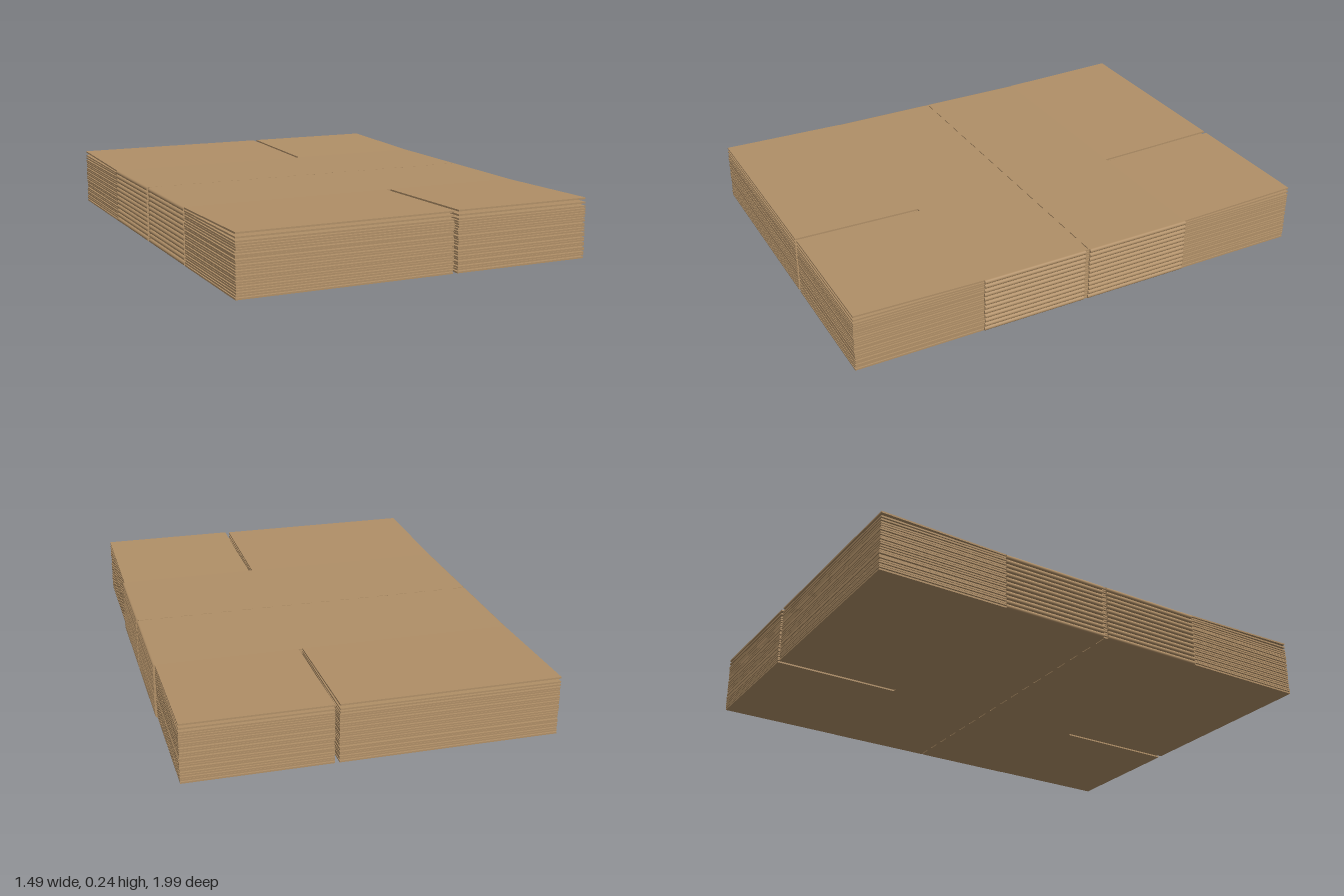
import * as THREE from 'three';

const BOXES = 12, PITCH = 0.0193, HEIGHT = 0.0177, SHEET = 0.0066;
const HALF_W = 0.732, CREASE = 0.457, END = 0.988;
const SLOT_L = 0.137, SLOT_R = 0.155;

const cardboard = new THREE.MeshStandardMaterial({ color: 0xb08f67 });

let seed = 7;
const jitter = (amount) => {
  seed = (seed * 16807) % 2147483647;
  return (seed / 2147483647 * 2 - 1) * amount;
};

function rect(target, x0, x1, z0, z1) {
  target.moveTo(x0, z0);
  target.lineTo(x1, z0);
  target.lineTo(x1, z1);
  target.lineTo(x0, z1);
  target.closePath();
  return target;
}

// Middle panel with a row of perforations along its centre line
function panelGeometry() {
  const shape = rect(new THREE.Shape(), -HALF_W, HALF_W, -CREASE, CREASE);
  for (let i = 0; i < 17; i++) {
    const x = -0.7 + i * 0.0875;
    shape.holes.push(rect(new THREE.Path(), x - 0.025, x + 0.025, -0.002, 0.002));
  }
  const g = new THREE.ExtrudeGeometry(shape, { depth: SHEET, bevelEnabled: false });
  return g.rotateX(-Math.PI / 2).translate(0, -SHEET / 2, 0);
}

// Flap hinged at its inner edge, reaching towards +z or -z
function flapGeometry(x0, x1, side) {
  const length = END - CREASE;
  return new THREE.BoxGeometry(x1 - x0, SHEET, length)
    .translate((x0 + x1) / 2, 0, side * length / 2);
}

// Rounded fold joining the upper and lower sheet at a side edge
function foldGeometry(z0, z1) {
  const r = HEIGHT / 2;
  return new THREE.CylinderGeometry(r, r, z1 - z0, 8, 1, false, 0, Math.PI)
    .rotateX(Math.PI / 2).translate(0, 0, (z0 + z1) / 2);
}

export function createModel() {
  const stack = new THREE.Group();
  stack.name = 'flattenedBoxStack';
  const add = (parent, geometry, name) => {
    const mesh = new THREE.Mesh(geometry, cardboard);
    mesh.name = name;
    parent.add(mesh);
    return mesh;
  };

  const panel = panelGeometry();
  const flaps = [];
  for (const side of [1, -1]) {
    flaps.push({ side, name: 'wideFlap', g: flapGeometry(-HALF_W - 0.004, SLOT_L, side) });
    flaps.push({ side, name: 'narrowFlap', g: flapGeometry(SLOT_R, HALF_W, side) });
  }
  // The folds leave a small notch at the perforated centre line
  const folds = [foldGeometry(-CREASE, -0.005), foldGeometry(0.015, CREASE)];

  for (let i = 0; i < BOXES; i++) {
    const box = new THREE.Group();
    box.name = 'flattenedBox';
    box.position.set(jitter(0.001), i * PITCH + HEIGHT / 2, jitter(0.001));
    box.rotation.y = -0.011 + jitter(0.0008);
    stack.add(box);

    for (const level of [-1, 1]) {
      const y = level * (HEIGHT - SHEET) / 2;
      add(box, panel, 'panel').position.y = y;
      // The flaps of the topmost box spring up a little
      const lift = i < BOXES - 1 ? 0 : level > 0 ? 0.022 : 0.011;
      for (const { side, name, g } of flaps) {
        const flap = add(box, g, name);
        flap.position.set(0, y, side * CREASE);
        const bend = i === 0 && level < 0 ? 0 : lift + jitter(0.002);
        flap.rotation.x = -side * bend;
      }
    }

    for (const side of [1, -1]) {
      for (const g of folds) {
        const fold = add(box, g, 'sideFold');
        fold.position.x = side * HALF_W;
        // Turn the half round outwards; z order flips with it on the far side
        if (side < 0) fold.rotation.z = Math.PI;
      }
    }
  }
  return stack;
}
